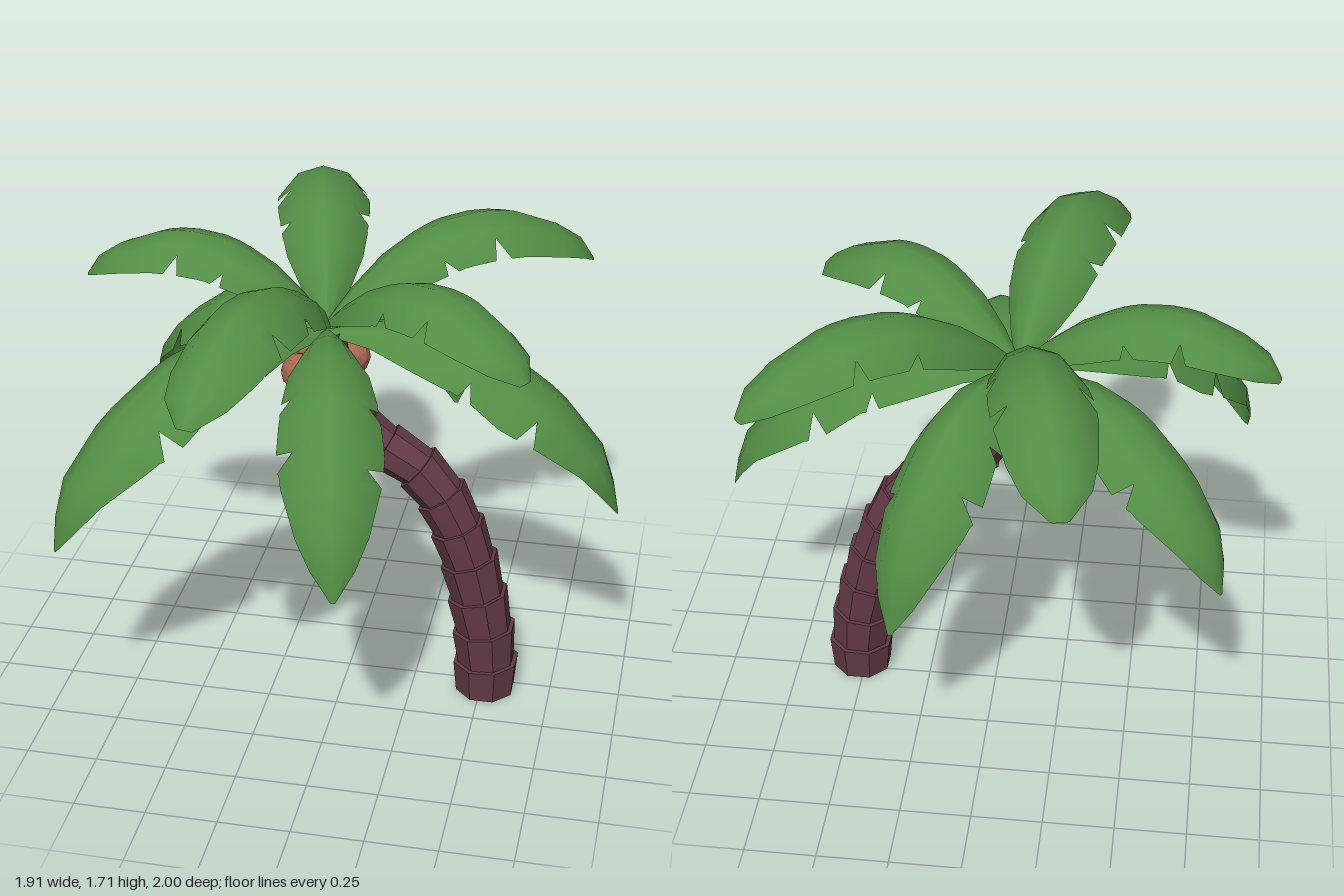
import * as THREE from 'three';
import { toCreasedNormals } from 'three/addons/utils/BufferGeometryUtils.js';

const leafGreen = new THREE.MeshStandardMaterial({ color: 0x538e45, side: THREE.DoubleSide });
leafGreen.name = 'leaf green';
const barkBrown = new THREE.MeshStandardMaterial({ color: 0x623a45, flatShading: true, side: THREE.DoubleSide });
barkBrown.name = 'bark brown';
const nutBrown = new THREE.MeshStandardMaterial({ color: 0xa8674f, flatShading: true });
nutBrown.name = 'nut brown';

// Frond stations: [position along the rib, raised half width, drooping half width, left edge factor, right edge factor]
const STATIONS = [
  [0, 0.02, 0.02, 1, 1], [0.12, 0.09, 0.09, 1, 1], [0.25, 0.14, 0.15, 1, 1], [0.36, 0.16, 0.175, 1, 1],
  [0.375, 0.16, 0.175, 0.8, 1], [0.4, 0.165, 0.18, 1, 1], [0.42, 0.165, 0.18, 1, 0.8], [0.46, 0.17, 0.185, 1, 1],
  [0.55, 0.175, 0.195, 1, 1], [0.565, 0.175, 0.195, 0.7, 1], [0.61, 0.175, 0.19, 1, 1], [0.625, 0.175, 0.185, 1, 0.7],
  [0.67, 0.172, 0.18, 1, 1], [0.82, 0.148, 0.132, 1, 1], [0.92, 0.113, 0.08, 1, 1], [1, 0.03, 0.008, 1, 1],
];
const RAISED = 1, DROOPING = 2;

// Two triangles for every cell of a grid of points
function gridIndex(rows, columns) {
  const index = [];
  for (let i = 0; i < rows - 1; i++) {
    for (let j = 0; j < columns - 1; j++) {
      const a = i * columns + j, b = a + columns;
      index.push(a, a + 1, b, a + 1, b + 1, b);
    }
  }
  return index;
}

function gridGeometry(pos, rows, columns) {
  const g = new THREE.BufferGeometry();
  g.setAttribute('position', new THREE.Float32BufferAttribute(pos, 3));
  g.setIndex(gridIndex(rows, columns));
  return g;
}

// Arched leaf: a rounded crest with steep, notched sides hanging off a curved rib
function frondGeometry(kind, ribPoints) {
  const rib = new THREE.SplineCurve(ribPoints.map(([r, y]) => new THREE.Vector2(r, y)));
  const pos = [];
  for (const station of STATIONS) {
    const [t, , , left, right] = station, w = station[kind];
    const p = rib.getPointAt(t), d = rib.getTangentAt(t);
    const depth = (w / 0.18) * (1 - 0.55 * t ** 4);
    for (const c of [-left, -0.55, 0, 0.55, right]) {
      const a = Math.abs(c);
      const drop = depth * (a <= 0.55 ? a * 0.055 : 0.03 + 0.1 * (a - 0.55) / 0.45);
      pos.push(p.x + d.y * drop, p.y - d.x * drop, c * w);
    }
  }
  return toCreasedNormals(gridGeometry(pos, STATIONS.length, 5), 0.7);
}

// Trunk: one eight-sided skin whose rings flare and step back in at every joint
function trunkGeometry() {
  const path = [
    [0.514, 0], [0.514, 0.125], [0.502, 0.26], [0.475, 0.4], [0.44, 0.54], [0.395, 0.67],
    [0.335, 0.79], [0.25, 0.89], [0.13, 0.96], [0.045, 1.02], [-0.005, 1.1], [-0.05, 1.21], [-0.085, 1.36],
  ];
  const pos = [], last = path.length - 1;
  const ring = (i, radius) => {
    const [x, y] = path[i];
    const [x0, y0] = path[Math.max(i - 1, 0)], [x1, y1] = path[Math.min(i + 1, last)];
    const out = new THREE.Vector2(y1 - y0, x0 - x1).normalize();
    const z = 0.04 * Math.min(1, (1.36 - y) / 0.5);
    for (let k = 0; k <= 8; k++) {
      const a = -(k + 0.5) * Math.PI / 4, c = radius * Math.cos(a);
      pos.push(x + out.x * c, y + out.y * c, z + radius * Math.sin(a));
    }
  };
  for (let i = 0; i < last; i++) {
    const radius = 0.121 - 0.0048 * i;
    ring(i, radius * 0.9);
    ring(i + 1, radius);
  }
  return gridGeometry(pos, last * 2, 9);
}

export function createModel() {
  const model = new THREE.Group();
  model.name = 'palmTree';

  const trunk = new THREE.Mesh(trunkGeometry(), barkBrown);
  trunk.name = 'trunk';
  trunk.geometry.computeVertexNormals();
  model.add(trunk);

  // Coconuts clustered under the crown
  const nutGeo = new THREE.IcosahedronGeometry(0.062, 1);
  for (const [x, y, z] of [[-0.17, 1.225, 0.05], [-0.15, 1.25, -0.07], [-0.03, 1.25, 0.085], [0.0, 1.25, -0.06]]) {
    const nut = new THREE.Mesh(nutGeo, nutBrown);
    nut.name = 'coconut';
    nut.scale.y = 1.1;
    nut.position.set(x, y, z);
    model.add(nut);
  }

  // Crown: raised fronds alternating with drooping ones
  const raised = frondGeometry(RAISED,
    [[0, 0], [0.16, 0.16], [0.32, 0.26], [0.48, 0.31], [0.67, 0.3], [0.85, 0.225], [0.96, 0.145], [1, 0.075]]);
  const drooping = frondGeometry(DROOPING,
    [[0, 0], [0.14, 0.045], [0.28, 0.065], [0.53, 0.01], [0.67, -0.08], [0.8, -0.18], [0.92, -0.32], [0.965, -0.41], [1, -0.58]]);
  const addFrond = (geo, name, baseY, [degrees, length, height, width]) => {
    const frond = new THREE.Mesh(geo, leafGreen);
    frond.name = name;
    frond.position.set(-0.08, baseY, 0);
    frond.rotation.y = -THREE.MathUtils.degToRad(degrees);
    frond.scale.set(length, height, width);
    model.add(frond);
  };
  // Each entry: heading, length, height scale, width scale (negative mirrors the notches)
  [[-103, 1.025, 1, 0.95], [-34, 1.02, 1, -0.9], [32, 0.875, 0.85, 0.9], [103, 1.025, 1, -0.95], [187, 0.885, 0.85, 0.87]]
    .forEach((f) => addFrond(raised, 'raisedFrond', 1.4, f));
  [[-64, 0.8, 1.05, 0.87], [2.5, 1.035, 1, 1], [77, 0.92, 0.9, -0.9], [140.5, 1.035, 1.02, 1], [214, 0.88, 0.89, -0.87]]
    .forEach((f) => addFrond(drooping, 'droopingFrond', 1.37, f));

  return model;
}
